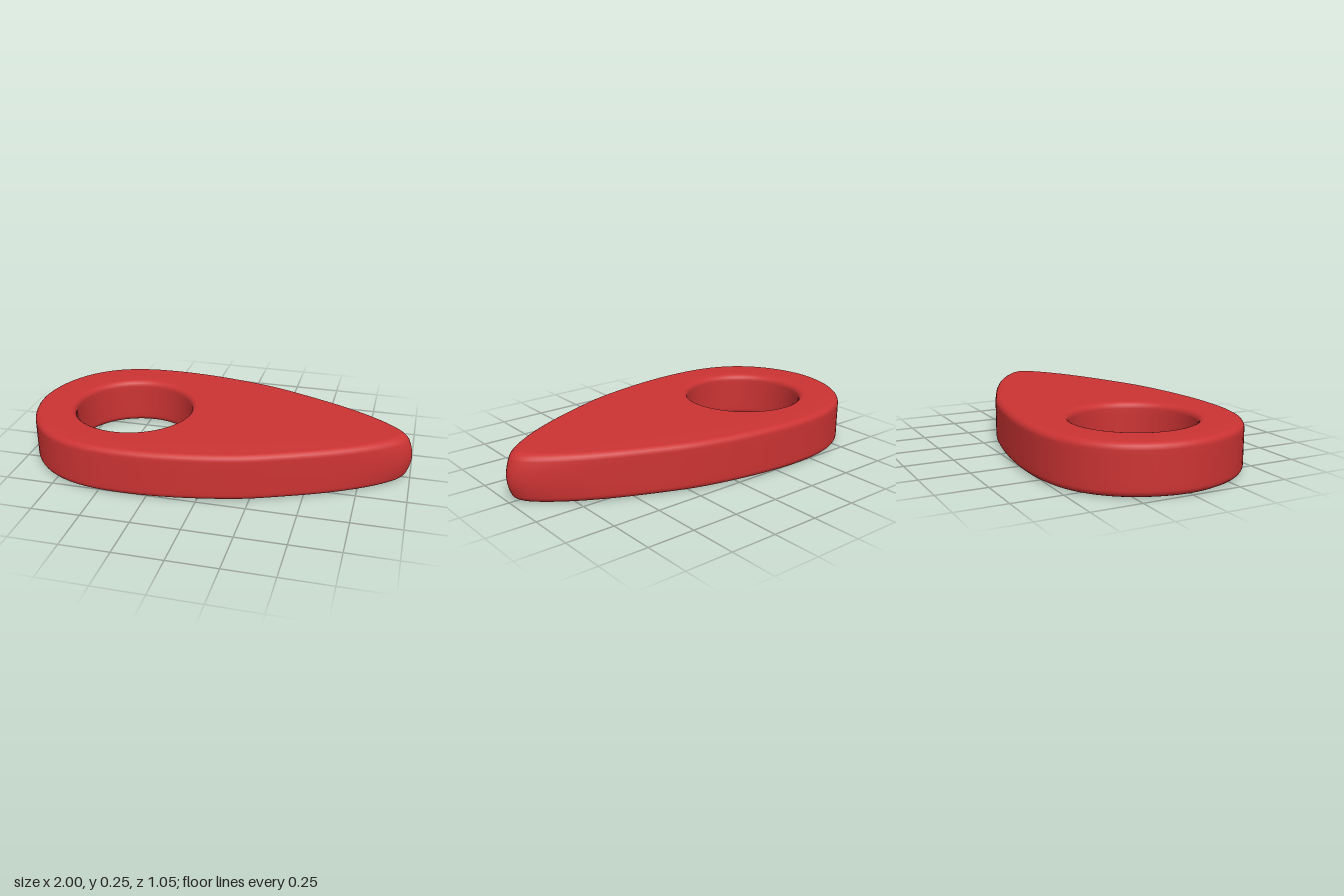
import * as THREE from 'three';

const HEIGHT = 0.245, BEVEL = 0.032, HOLE_X = -0.475, HOLE_R = 0.31;

// Half of the egg-shaped outline, from the pointed tip to the blunt end: [x, half width]
const HALF = [
  [1, 0], [0.975, 0.053], [0.9, 0.118], [0.77, 0.2], [0.6, 0.285], [0.42, 0.361], [0.22, 0.436],
  [0, 0.487], [-0.2, 0.516], [-0.38, 0.525], [-0.54, 0.515], [-0.68, 0.48],
  [-0.8, 0.414], [-0.9, 0.31], [-0.97, 0.17], [-1, 0],
];

// Edge profile from bottom to top, as [inset, y]: rounded corner, wall, rounded corner
function edgeProfile() {
  const points = [], steps = 5;
  for (let i = 0; i <= steps; i++) {
    const a = (i / steps) * Math.PI / 2;
    points.push([BEVEL * (1 - Math.sin(a)), BEVEL * (1 - Math.cos(a))]);
  }
  for (let i = 1; i < 6; i++) points.push([0, BEVEL + (HEIGHT - 2 * BEVEL) * i / 6]);
  for (let i = steps; i >= 0; i--) points.push([points[i][0], HEIGHT - points[i][1]]);
  return points;
}

function bodyGeometry() {
  const mirrored = HALF.slice(1, -1).reverse();
  const outline = new THREE.CatmullRomCurve3([
    ...HALF.map(([x, w]) => new THREE.Vector3(x, 0, -w)),
    ...mirrored.map(([x, w]) => new THREE.Vector3(x, 0, w)),
  ], true, 'centripetal');

  const profile = edgeProfile();
  const around = 120, loop = profile.length * 2;
  const positions = [], indices = [];

  for (let i = 0; i < around; i++) {
    const p = outline.getPoint(i / around);
    const t = outline.getTangent(i / around);
    const tip = Math.max(0, (p.x - 0.4) / 0.6) ** 2;
    // Outer edge, bulging more strongly towards the tip
    for (const [inset, y] of profile) {
      const bulge = 0.04 * tip * (2 * y / HEIGHT - 1) ** 2;
      positions.push(p.x + t.z * inset - bulge, y, p.z - t.x * inset);
    }
    // Hole edge, from top to bottom
    const angle = Math.atan2(p.z, p.x - HOLE_X);
    for (const [inset, y] of [...profile].reverse()) {
      const r = HOLE_R + inset;
      positions.push(HOLE_X + r * Math.cos(angle), y, r * Math.sin(angle));
    }
    // Join this cross-section to the next one
    const next = (i + 1) % around;
    for (let j = 0; j < loop; j++) {
      const k = (j + 1) % loop;
      const a = i * loop + j, b = next * loop + j, c = next * loop + k, d = i * loop + k;
      indices.push(a, b, c, a, c, d);
    }
  }

  const geometry = new THREE.BufferGeometry();
  geometry.setAttribute('position', new THREE.Float32BufferAttribute(positions, 3));
  geometry.setIndex(indices);
  geometry.computeVertexNormals();
  return geometry;
}

export function createModel() {
  const group = new THREE.Group();
  group.name = 'teardropTag';
  const body = new THREE.Mesh(bodyGeometry(), new THREE.MeshStandardMaterial({ color: 0xcc3333 }));
  body.name = 'bodyWithRoundHole';
  group.add(body);
  return group;
}
